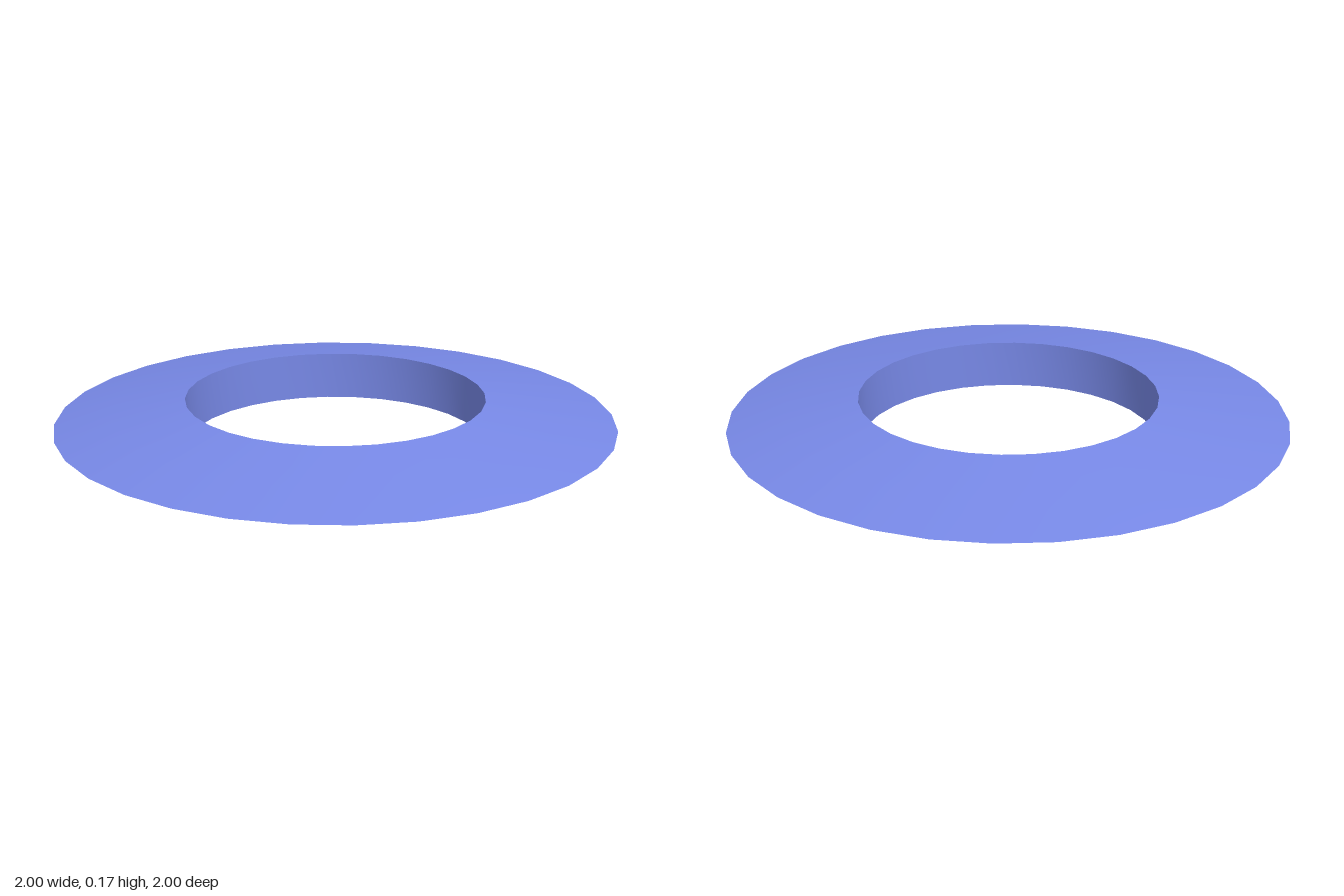
import * as THREE from 'three';
import { toCreasedNormals } from 'three/addons/utils/BufferGeometryUtils.js';

export function createModel() {
  const group = new THREE.Group();
  group.name = 'flyingRing';

  // Closed cross-section: thick inner wall tapering to a knife-sharp outer rim
  const profile = [
    [0.535, 0], [0.8, 0.045], [1, 0.0875], [0.8, 0.13], [0.535, 0.175], [0.535, 0],
  ].map(([r, y]) => new THREE.Vector2(r, y));

  // Smooth around the ring, sharp at the rim and inner edges
  const geometry = toCreasedNormals(new THREE.LatheGeometry(profile, 32), Math.PI / 10);
  const ring = new THREE.Mesh(geometry, new THREE.MeshStandardMaterial({ color: 0x7788e6 }));
  ring.name = 'ring';
  group.add(ring);
  return group;
}
